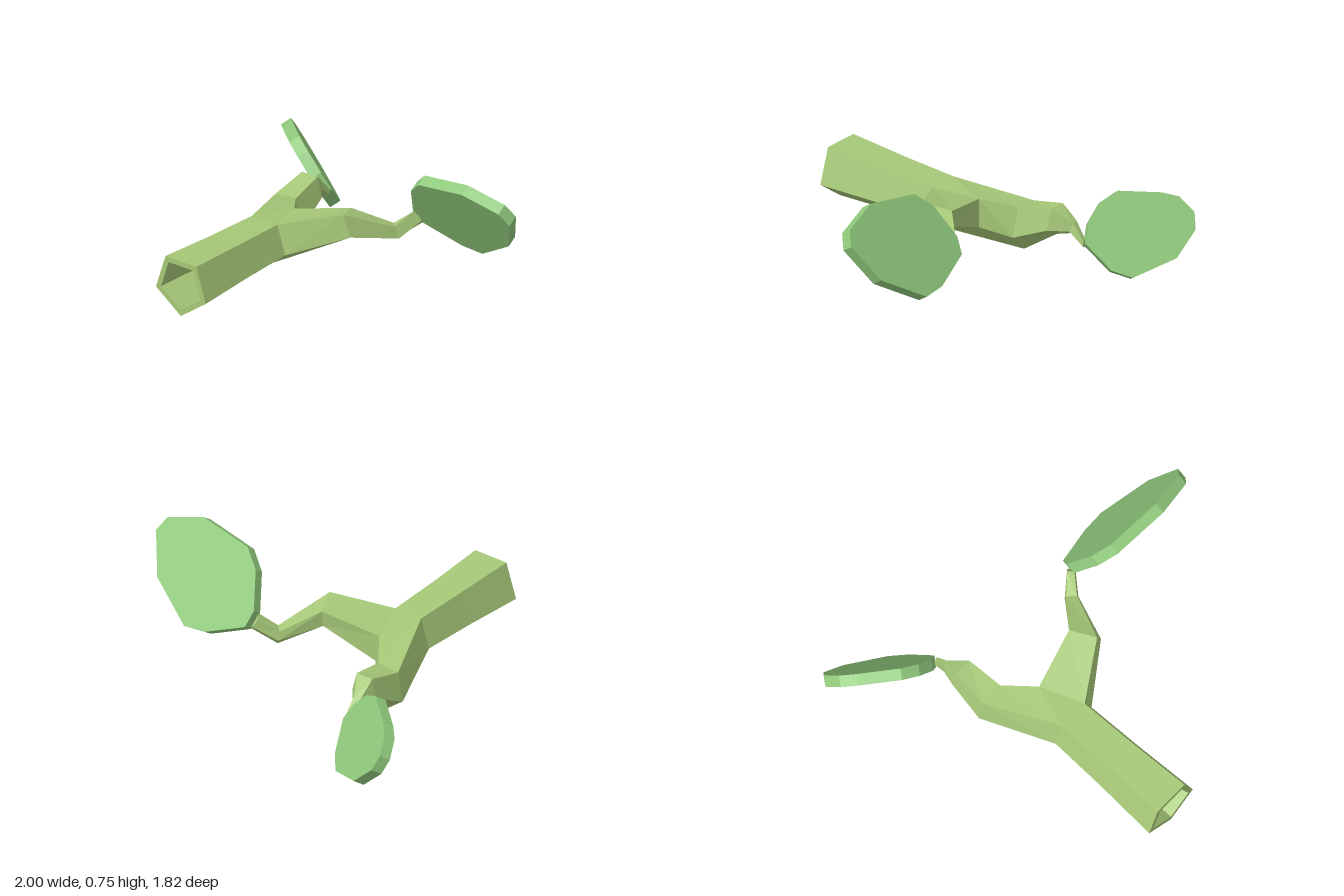
import * as THREE from 'three';

const bark = new THREE.MeshStandardMaterial({ color: 0xa6c878, flatShading: true, side: THREE.DoubleSide });
const green = new THREE.MeshStandardMaterial({ color: 0x90c97c, flatShading: true, side: THREE.DoubleSide });

// Skin a series of rings (counter-clockwise seen from the start side); flip reverses the faces
function loft(name, rings, material, { flip = false, startCap = false, endCap = false } = {}) {
  const pos = [];
  const tri = (a, b, c) => pos.push(...a, ...(flip ? c : b), ...(flip ? b : c));
  const n = rings[0].length;
  for (let i = 0; i < rings.length - 1; i++) {
    for (let k = 0; k < n; k++) {
      const j = (k + 1) % n;
      const [a, b, c, d] = [rings[i][k], rings[i][j], rings[i + 1][j], rings[i + 1][k]];
      tri(a, d, c);
      tri(a, c, b);
    }
  }
  const last = rings[rings.length - 1];
  for (let k = 1; k < n - 1; k++) {
    if (startCap) tri(rings[0][0], rings[0][k], rings[0][k + 1]);
    if (endCap) tri(last[0], last[k + 1], last[k]);
  }
  const geometry = new THREE.BufferGeometry();
  geometry.setAttribute('position', new THREE.Float32BufferAttribute(pos, 3));
  geometry.computeVertexNormals();
  const mesh = new THREE.Mesh(geometry, material);
  mesh.name = name;
  return mesh;
}

// Five-sided trunk section with its point down
function pentagon(r, z, y = 0.27) {
  return Array.from({ length: 5 }, (_, k) => {
    const a = -Math.PI / 2 + (k * 2 * Math.PI) / 5;
    return [-0.28 + r * Math.cos(a), y + r * Math.sin(a), z];
  });
}

// Flat slab: an outline on a tilted plane, thickened along an offset
function leaf(name, outline, depth, offset) {
  const front = outline.map(([x, y]) => [x, y, depth(x, y)]);
  const back = front.map((p) => p.map((v, i) => v + offset[i]));
  return loft(name, [front, back], green, { startCap: true, endCap: true });
}

export function createModel() {
  const model = new THREE.Group();

  // Hollow trunk
  const fork = pentagon(0.142, 0.22);
  model.add(loft('trunk', [pentagon(0.172, 0.9), pentagon(0.153, 0.55), fork], bark));
  model.add(loft('trunkHollow', [pentagon(0.172, 0.9), pentagon(0.137, 0.9), pentagon(0.095, 0.22, 0.265)],
    bark, { flip: true, endCap: true }));

  // Fork, shared by both branches
  const [bottom, lowRight, topRight, topLeft, lowLeft] = fork;
  const crotchTop = [-0.28, 0.36, -0.02], crotchLow = [-0.28, 0.2, -0.02];
  model.add(loft('forkTop', [[topLeft, topRight, crotchTop]], bark, { startCap: true }));

  // Branch rings run: bottom, low outer, top outer, top inner, low inner
  model.add(loft('leftBranch', [
    [bottom, lowRight, topRight, crotchTop, crotchLow],
    [[0.06, 0.31, -0.03], [0.13, 0.34, 0.03], [0.09, 0.46, 0.04], [0.03, 0.43, -0.1], [0.03, 0.34, -0.09]],
    [[0.2, 0.25, -0.25], [0.24, 0.27, -0.23], [0.22, 0.335, -0.22], [0.18, 0.33, -0.26], [0.18, 0.28, -0.27]],
    [[0.31, 0.345, -0.34], [0.315, 0.36, -0.32], [0.285, 0.42, -0.3], [0.265, 0.4, -0.33], [0.285, 0.36, -0.35]],
  ], bark, { endCap: true }));

  model.add(loft('rightBranch', [
    [bottom, lowLeft, topLeft, crotchTop, crotchLow],
    [[-0.45, 0.065, -0.18], [-0.56, 0.15, -0.18], [-0.53, 0.31, -0.18], [-0.4, 0.32, -0.18], [-0.36, 0.16, -0.18]],
    [[-0.46, 0.21, -0.39], [-0.545, 0.25, -0.38], [-0.52, 0.36, -0.38], [-0.42, 0.36, -0.38], [-0.39, 0.25, -0.38]],
    [[-0.49, 0.225, -0.46], [-0.52, 0.24, -0.46], [-0.52, 0.29, -0.47], [-0.48, 0.29, -0.48], [-0.465, 0.245, -0.47]],
    [[-0.5, 0.165, -0.54], [-0.51, 0.18, -0.54], [-0.505, 0.21, -0.54], [-0.48, 0.21, -0.55], [-0.475, 0.18, -0.55]],
  ], bark, { flip: true, endCap: true }));

  // Leaves
  model.add(leaf('leftLeaf', [
    [0.3, 0.34], [0.52, 0.255], [0.65, 0.245], [0.9, 0.4], [1, 0.59],
    [0.96, 0.66], [0.75, 0.72], [0.44, 0.67], [0.35, 0.59], [0.28, 0.42],
  ], (x, y) => -0.11 - (0.72 - y) * 0.61, [0, 0.035, -0.052]));

  model.add(leaf('rightLeaf', [
    [-1, 0.27], [-0.97, 0.19], [-0.84, 0.07], [-0.63, 0], [-0.56, 0.04], [-0.51, 0.17],
    [-0.56, 0.26], [-0.65, 0.35], [-0.74, 0.395], [-0.91, 0.37], [-0.97, 0.345],
  ], (x, y) => -0.243 + 0.788 * x + 0.705 * y, [0.032, 0.03, -0.042]));

  return model;
}
